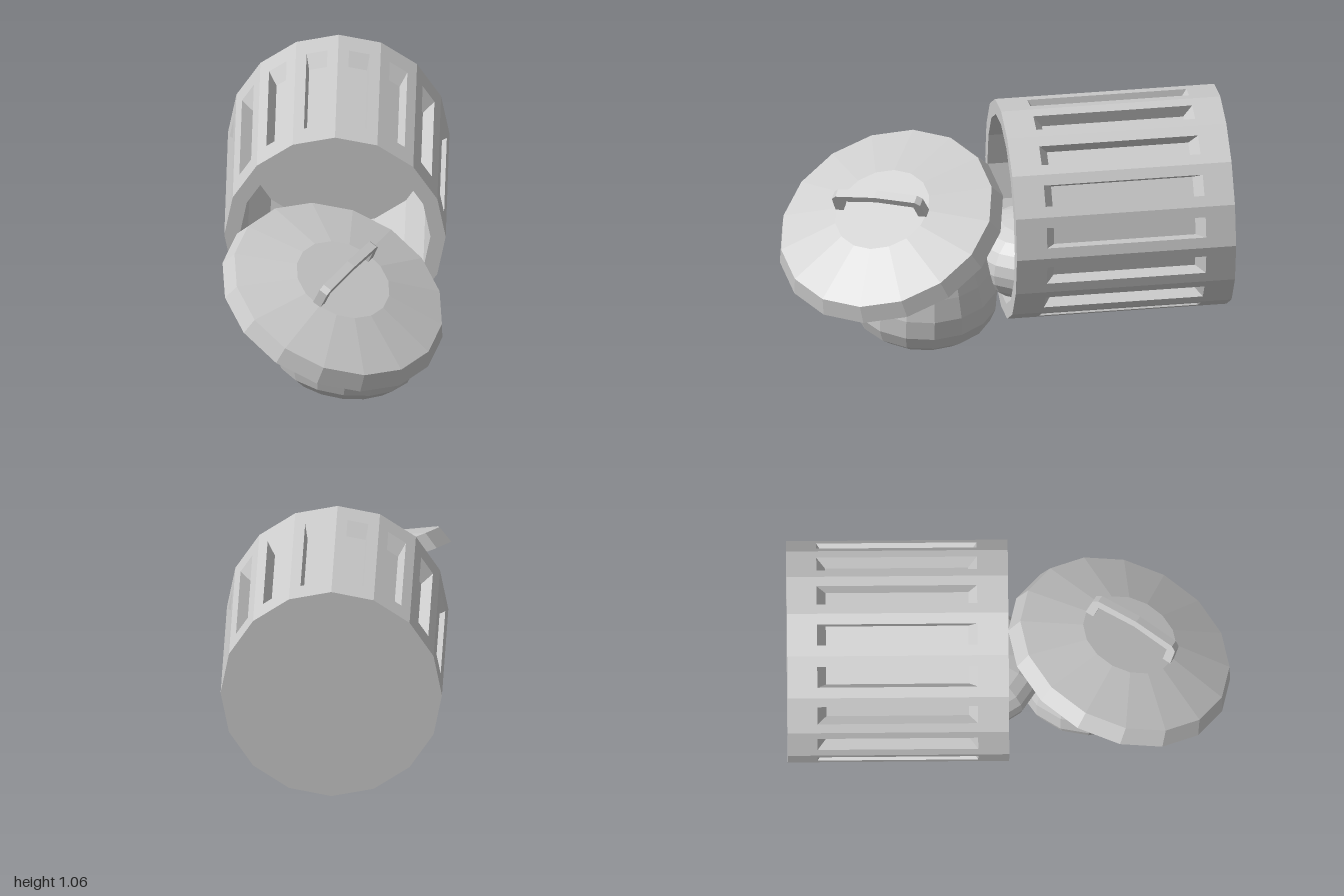
import * as THREE from 'three';
import { mergeGeometries } from 'three/addons/utils/BufferGeometryUtils.js';

const SIDES = 16;
const grey = new THREE.MeshStandardMaterial({ color: 0xcccccc, flatShading: true });

function part(name, geometry, parent) {
  const mesh = new THREE.Mesh(geometry, grey);
  mesh.name = name;
  parent.add(mesh);
  return mesh;
}

// One of the sixteen can facets, facing +y, with a recessed slot
function facetGeometry() {
  const half = Math.PI / SIDES;
  const pos = [];
  const tri = (...p) => p.forEach((v) => pos.push(...v));
  const quad = (a, b, c, d) => { tri(a, b, c); tri(a, c, d); };
  const rect = (w, y, z0, z1) => [[-w, y, z0], [w, y, z0], [w, y, z1], [-w, y, z1]];
  const ring = (a, b) => {
    for (let i = 0; i < 4; i++) {
      const j = (i + 1) % 4;
      quad(a[i], a[j], b[j], b[i]);
    }
  };
  const apothem = 0.5 * Math.cos(half);
  const outer = rect(0.5 * Math.sin(half), apothem, 0, -1);
  const slot = rect(0.048, apothem, -0.14, -0.865);
  const floor = rect(0.048, apothem - 0.062, -0.18, -0.825);
  const inner = rect(0.431 * Math.sin(half), 0.431 * Math.cos(half), 0, -0.93);
  ring(outer, slot);
  ring(slot, floor);
  quad(...floor);
  quad(inner[0], inner[1], outer[1], outer[0]); // rim of the mouth
  quad(inner[1], inner[0], inner[3], inner[2]); // inside wall
  tri([0, 0, -0.93], inner[2], inner[3]);       // inside bottom
  tri([0, 0, -1], outer[3], outer[2]);          // outside bottom
  const g = new THREE.BufferGeometry();
  g.setAttribute('position', new THREE.Float32BufferAttribute(pos, 3));
  g.computeVertexNormals();
  return g;
}

const lathe = (points, segments) =>
  new THREE.LatheGeometry(points.map(([r, y]) => new THREE.Vector2(r, y)), segments);

export function createModel() {
  const model = new THREE.Group();
  model.name = 'binWithCreature';

  // Can lying on its side, mouth to the front
  const facet = facetGeometry();
  const facets = [];
  for (let i = 0; i < SIDES; i++) {
    facets.push(facet.clone().rotateZ(((i + 0.5) * 2 * Math.PI) / SIDES));
  }
  part('can', mergeGeometries(facets), model).position.y = 0.556;

  // Body reaching back into the can
  const body = part('body', new THREE.SphereGeometry(1, 16, 12), model);
  body.scale.set(0.29, 0.195, 0.3);
  body.position.set(0, 0.325, -0.15);

  // Head: squat, wide at the bottom, leaning a little to one side
  const head = part('head', lathe([
    [0, 0], [0.15, 0.008], [0.25, 0.035], [0.31, 0.085], [0.333, 0.15], [0.33, 0.24],
    [0.302, 0.34], [0.27, 0.43], [0.22, 0.51], [0.13, 0.56], [0, 0.58],
  ], 16), model);
  head.position.set(0.04, 0.01, 0.36);
  head.rotation.z = -0.12;

  // Lid worn as a hat, tipped forward and to the left
  const lid = new THREE.Group();
  lid.name = 'lid';
  const up = new THREE.Vector3(0.33, 0.883, 0.33).normalize();
  const side = new THREE.Vector3(up.y, -up.x, 0).normalize();
  const forward = new THREE.Vector3().crossVectors(side, up);
  lid.quaternion.setFromRotationMatrix(new THREE.Matrix4().makeBasis(side, up, forward));
  lid.position.set(-0.003, 0.49, 0.5);
  model.add(lid);
  part('lidShell', lathe([
    [0, 0.115], [0.215, 0.115], [0.465, 0.05], [0.495, 0],
    [0.53, 0], [0.5, 0.08], [0.223, 0.147], [0, 0.147],
  ], SIDES), lid);

  // Arched handle across the lid
  const arch = new THREE.Shape([
    [-0.225, -0.01], [-0.185, -0.01], [-0.18, 0.065], [0, 0.082], [0.18, 0.065], [0.185, -0.01],
    [0.225, -0.01], [0.218, 0.08], [0.195, 0.1], [0, 0.115], [-0.195, 0.1], [-0.218, 0.08],
  ].map(([x, y]) => new THREE.Vector2(x, y)));
  const bar = new THREE.ExtrudeGeometry(arch, { depth: 0.042, bevelEnabled: false });
  bar.translate(0, 0, -0.021);
  const handle = part('lidHandle', bar, lid);
  const along = new THREE.Vector3(0.23, 0.056, -0.38);
  handle.rotation.y = Math.atan2(-along.dot(forward), along.dot(side));
  handle.position.y = 0.147;

  return model;
}
